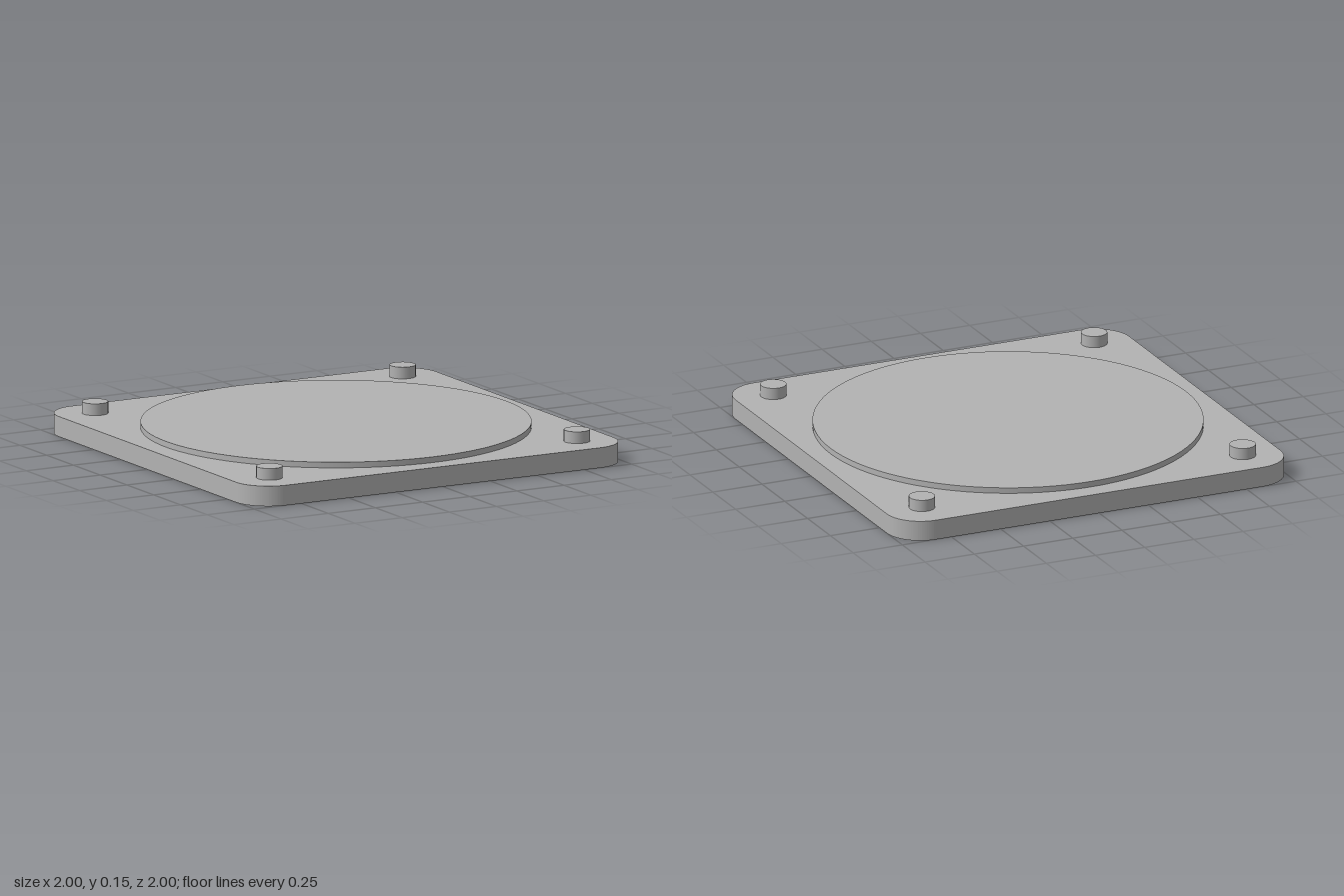
import * as THREE from 'three';

export function createModel() {
  const model = new THREE.Group();
  model.name = 'mountingPlate';
  const grey = new THREE.MeshStandardMaterial({ color: 0xb2b2b2 });
  grey.name = 'plain grey';

  const plateTop = 0.095;
  const add = (name, geometry, x, y, z) => {
    const mesh = new THREE.Mesh(geometry, grey);
    mesh.name = name;
    mesh.position.set(x, y, z);
    model.add(mesh);
  };

  // Square base plate with rounded corners
  const r = 0.17, c = 1 - r;
  const outline = new THREE.Shape();
  outline.absarc(c, c, r, 0, Math.PI / 2);
  outline.absarc(-c, c, r, Math.PI / 2, Math.PI);
  outline.absarc(-c, -c, r, Math.PI, Math.PI * 1.5);
  outline.absarc(c, -c, r, Math.PI * 1.5, Math.PI * 2);
  outline.closePath();
  const plate = new THREE.ExtrudeGeometry(outline, { depth: plateTop, bevelEnabled: false, curveSegments: 16 });
  plate.rotateX(-Math.PI / 2);
  add('basePlate', plate, 0, 0, 0);

  // Shallow raised disc
  const discHeight = 0.027;
  add('raisedDisc', new THREE.CylinderGeometry(0.902, 0.902, discHeight, 96), 0, plateTop + discHeight / 2, 0);

  // Four corner studs
  const studHeight = 0.055;
  const stud = new THREE.CylinderGeometry(0.061, 0.061, studHeight, 24);
  for (const [side, x] of [['Left', 1], ['Right', -1]]) {
    for (const [end, z] of [['front', 1], ['back', -1]]) {
      add(`${end}${side}Stud`, stud, x * 0.815, plateTop + studHeight / 2, z * 0.815);
    }
  }
  return model;
}
